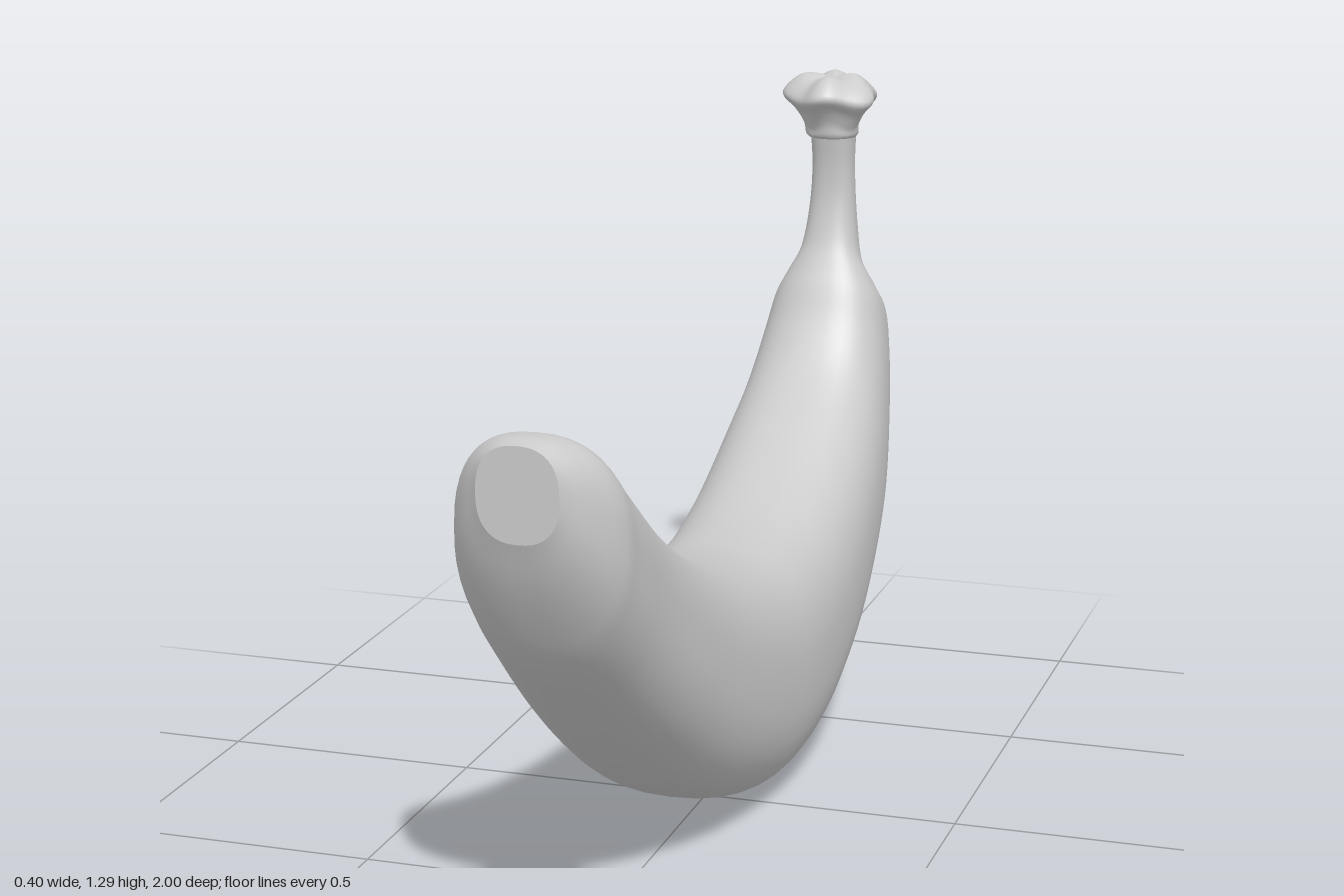
import * as THREE from 'three';
import { mergeVertices } from 'three/addons/utils/BufferGeometryUtils.js';

const material = new THREE.MeshStandardMaterial({ color: 0xcccccc });

// Cross-sections from blossom end to stem: half width, inner y, z, outer y, z
const SECTIONS = [
  [0.072, 0.965, 1.0, 0.80, 1.0],
  [0.115, 0.97, 0.95, 0.715, 0.965],
  [0.148, 0.96, 0.895, 0.625, 0.915],
  [0.156, 0.895, 0.81, 0.56, 0.87],
  [0.163, 0.74, 0.6, 0.46, 0.77],
  [0.178, 0.625, 0.4, 0.285, 0.56],
  [0.19, 0.545, 0.2, 0.12, 0.31],
  [0.198, 0.495, 0.0, 0.018, 0.04],
  [0.2, 0.487, -0.12, 0.0, -0.12],
  [0.196, 0.50, -0.28, 0.025, -0.33],
  [0.188, 0.55, -0.45, 0.135, -0.58],
  [0.172, 0.63, -0.6, 0.32, -0.8],
  [0.15, 0.705, -0.7, 0.50, -0.92],
  [0.132, 0.78, -0.76, 0.65, -0.98],
  [0.115, 0.85, -0.797, 0.745, -0.999],
  [0.094, 0.89, -0.82, 0.79, -0.98],
  [0.066, 0.94, -0.843, 0.84, -0.957],
  [0.05, 1.02, -0.862, 0.95, -0.955],
  [0.044, 1.09, -0.864, 1.08, -0.952],
  [0.047, 1.18, -0.852, 1.18, -0.955],
];
const SIDES = 48;
const STEPS = 6;

const inner = new THREE.CatmullRomCurve3(SECTIONS.map(([w, y, z]) => new THREE.Vector3(w, y, z)));
const outer = new THREE.CatmullRomCurve3(SECTIONS.map(([w, , , y, z]) => new THREE.Vector3(w, y, z)));

const soften = (v) => Math.sign(v) * Math.abs(v) ** (2 / 2.45);

// One ring of the fruit: a squarish oval spanning the inner and outer curves
function ring(t) {
  const a = inner.getPoint(t);
  const b = outer.getPoint(t);
  const points = [];
  for (let j = 0; j < SIDES; j++) {
    const angle = (j / SIDES) * Math.PI * 2;
    const p = b.clone().lerp(a, 0.5 + 0.5 * soften(Math.sin(angle)));
    p.x = a.x * soften(Math.cos(angle));
    points.push(p);
  }
  return points;
}

function buildGeometry(points, index) {
  const geometry = new THREE.BufferGeometry().setFromPoints(points);
  geometry.setIndex(index);
  geometry.computeVertexNormals();
  return geometry;
}

// Curved body running smoothly into the stem
function fruitGeometry() {
  const rows = (SECTIONS.length - 1) * STEPS;
  const points = [];
  const index = [];
  for (let i = 0; i <= rows; i++) {
    points.push(...ring(i / rows));
    if (i === rows) break;
    for (let j = 0; j < SIDES; j++) {
      const k = (j + 1) % SIDES;
      const a = i * SIDES + j;
      const b = i * SIDES + k;
      index.push(a, a + SIDES, b, b, a + SIDES, b + SIDES);
    }
  }
  return buildGeometry(points, index);
}

// Flat blossom end with its own normals for a crisp edge
function tipGeometry() {
  const points = [...ring(0), new THREE.Vector3(0, 0.8825, 1)];
  const index = [];
  for (let j = 0; j < SIDES; j++) index.push(SIDES, j, (j + 1) % SIDES);
  return buildGeometry(points, index);
}

// Knobbly crown: a lathe pushed in and out into uneven lobes
function crownGeometry() {
  const profile = new THREE.SplineCurve([
    [0, 0], [0.05, 0.0], [0.058, 0.025], [0.074, 0.055], [0.095, 0.08],
    [0.085, 0.102], [0.058, 0.124], [0.028, 0.128], [0, 0.122],
  ].map(([r, y]) => new THREE.Vector2(r, y))).getPoints(32);
  profile.forEach((p) => { p.x = Math.max(p.x, 0); });
  profile[0].x = profile[profile.length - 1].x = 0;

  let geometry = new THREE.LatheGeometry(profile, 40);
  geometry.deleteAttribute('uv');
  geometry.deleteAttribute('normal');
  geometry = mergeVertices(geometry, 1e-5);
  const pos = geometry.attributes.position;
  for (let i = 0; i < pos.count; i++) {
    const x = pos.getX(i);
    const y = pos.getY(i);
    const z = pos.getZ(i);
    const r = Math.hypot(x, z);
    const angle = Math.atan2(x, z);
    const lobes = Math.cos(5 * angle + 0.5) + 0.4 * Math.sin(3 * angle);
    const k = 1 + 0.085 * lobes * Math.min(1, y / 0.06);
    const lift = 0.007 * Math.sin(4 * angle + 1) * Math.min(1, r / 0.06) * Math.min(1, y / 0.03);
    pos.setXYZ(i, x * k, y + lift, z * k);
  }
  geometry.computeVertexNormals();
  return geometry;
}

export function createModel() {
  const model = new THREE.Group();
  model.name = 'banana';
  const add = (name, geometry) => {
    const mesh = new THREE.Mesh(geometry, material);
    mesh.name = name;
    model.add(mesh);
    return mesh;
  };
  add('fruitAndStem', fruitGeometry());
  add('blossomTip', tipGeometry());
  add('stemCrown', crownGeometry()).position.set(0, 1.155, -0.895);
  return model;
}
